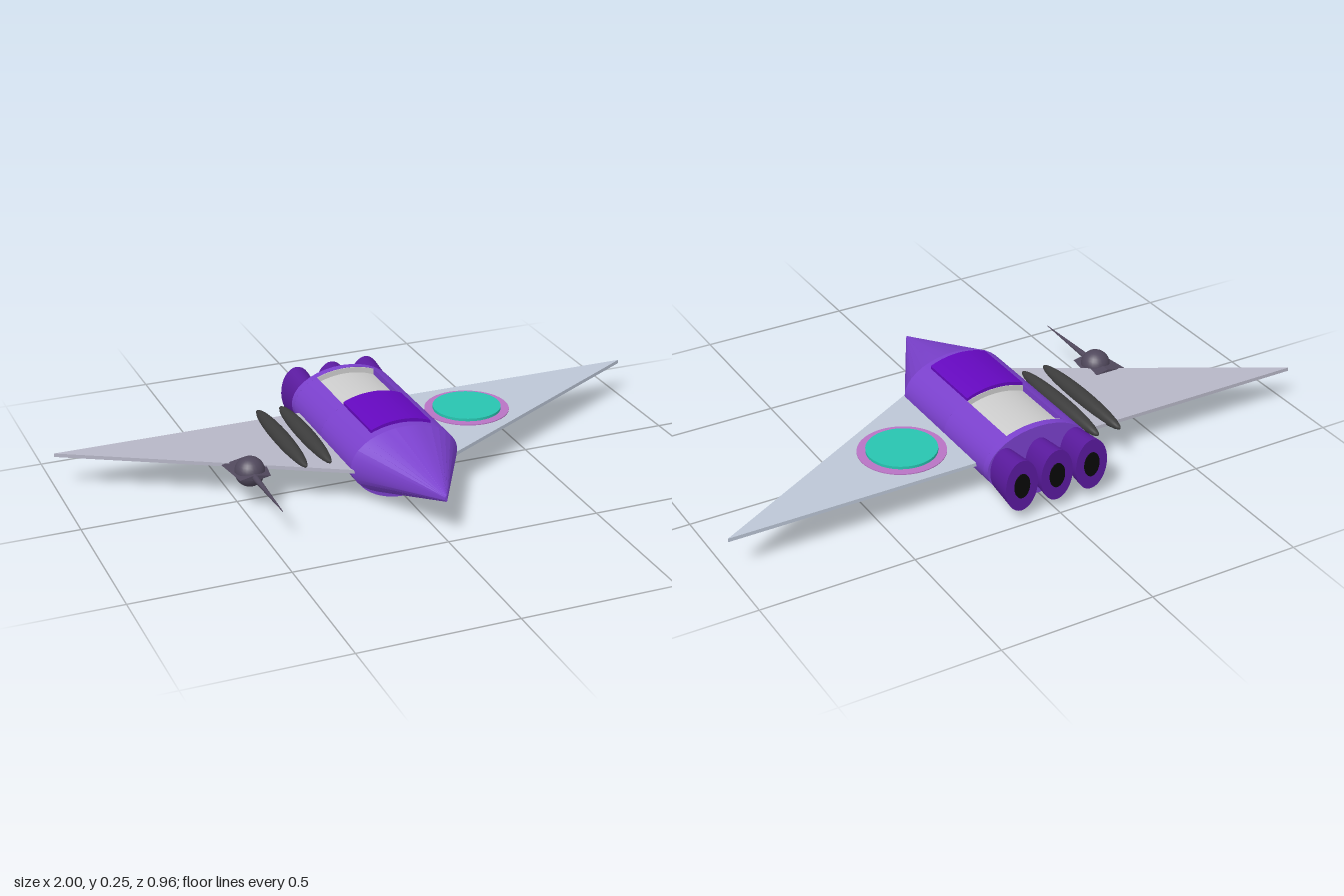
import * as THREE from 'three';
import { toCreasedNormals } from 'three/addons/utils/BufferGeometryUtils.js';

const CY = 0.127, RX = 0.18, RY = 0.112; // hull ellipse

// points along an elliptical arc about the hull axis
function arc(rx, ry, a0, a1, n, cy = CY) {
  return Array.from({ length: n + 1 }, (_, i) => {
    const a = a0 + (a1 - a0) * i / n;
    return new THREE.Vector2(rx * Math.cos(a), cy + ry * Math.sin(a));
  });
}

// extrude an outline along z between two stations
function slab(points, z0, z1) {
  const geo = new THREE.ExtrudeGeometry(new THREE.Shape(points), { depth: z1 - z0, bevelEnabled: false });
  geo.translate(0, 0, z0);
  return toCreasedNormals(geo, 0.5);
}

// round section along z, front radius first
function round(rFront, rBack, length, sides = 32) {
  return new THREE.CylinderGeometry(rFront, rBack, length, sides).rotateX(Math.PI / 2);
}

export function createModel() {
  const model = new THREE.Group();
  const mat = (color) => new THREE.MeshStandardMaterial({ color });
  const purple = mat(0x7a40cc), violet = mat(0x5a1a9e), canopyMat = mat(0x6408be);
  const grey = mat(0xcccccc), dark = mat(0x3c3c3c), black = mat(0x080808), gunMat = mat(0x50485c);
  const add = (name, geo, material, x = 0, y = 0, z = 0, parent = model) => {
    const mesh = new THREE.Mesh(geo, material);
    mesh.name = name;
    mesh.position.set(x, y, z);
    parent.add(mesh);
    return mesh;
  };

  // hull: full sections at both ends, a notched one around the rear bay
  const full = arc(RX, RY, 0, Math.PI * 2, 36).slice(0, -1);
  const aOut = Math.acos(0.1 / RX), aIn = Math.acos(0.1 / 0.16);
  const notched = [
    ...arc(RX, RY, Math.PI - aOut, Math.PI * 2 + aOut, 30),
    ...arc(0.16, 0.089, aIn, Math.PI - aIn, 12),
  ];
  add('hullFront', slab(full, -0.1, 0.16), purple);
  add('hullMiddle', slab(notched, -0.345, -0.1), purple);
  add('hullRear', slab(full, -0.37, -0.345), purple);

  // belly plate
  const belly = arc(0.172, 0.127, Math.PI + 0.58, Math.PI * 2 - 0.58, 20);
  add('bellyPlate', slab(belly, -0.37, 0.16), purple);

  // nose: ellipse narrowing to a small blunt tip
  const nose = round(1, 1, 1, 36);
  const p = nose.attributes.position;
  for (let i = 0; i < p.count; i++) {
    const tip = p.getZ(i) > 0;
    p.setXYZ(i,
      p.getX(i) * (tip ? 0.004 : RX),
      p.getY(i) * (tip ? 0.01 : RY) + (tip ? 0.135 : CY),
      tip ? 0.48 : 0.16);
  }
  add('nose', toCreasedNormals(nose, 0.5), purple);

  // raised canopy
  const canopy = [
    new THREE.Vector2(-0.1, 0.218), new THREE.Vector2(0.1, 0.218),
    ...arc(RX, 0.123, aOut, Math.PI - aOut, 14),
  ];
  add('canopy', slab(canopy, -0.105, 0.13), canopyMat);

  // recessed rear bay: curved floor and end walls
  const floor = [...arc(0.16, 0.093, aIn, Math.PI - aIn, 12), ...arc(0.16, 0.087, Math.PI - aIn, aIn, 12)];
  add('bayFloor', slab(floor, -0.345, -0.1), grey);
  const wall = [...arc(RX, RY - 0.001, aOut, Math.PI - aOut, 12), ...arc(0.16, 0.09, Math.PI - aIn, aIn, 12)];
  add('bayFrontWall', slab(wall, -0.107, -0.1), grey);
  add('bayRearWall', slab(wall, -0.345, -0.342), grey);

  // three oval engines with dark exhausts
  for (const x of [-0.123, 0, 0.123]) {
    const engine = new THREE.Group();
    engine.name = 'engine';
    engine.position.set(x, 0.123, 0);
    engine.scale.x = 0.64;
    model.add(engine);
    add('nozzle', round(0.073, 0.087, 0.117), violet, 0, 0, -0.4185, engine);
    add('exhaust', round(0.042, 0.042, 0.01), black, 0, 0, -0.475, engine);
  }

  // flat delta wings
  for (const side of [1, -1]) {
    const outline = [[0.14, -0.19], [1, 0.3], [0.14, 0.3]].map(([x, y]) => new THREE.Vector2(side * x, y));
    const geo = new THREE.ExtrudeGeometry(new THREE.Shape(outline), { depth: 0.012, bevelEnabled: false });
    geo.rotateX(-Math.PI / 2);
    add(side > 0 ? 'leftWing' : 'rightWing', geo, mat(side > 0 ? 0xbcc6d6 : 0xb6b6c6), 0, 0.113, 0);
  }

  // round dish on the left wing
  add('dishRim', new THREE.CylinderGeometry(0.139, 0.139, 0.006, 48), mat(0xb873c4), 0.342, 0.125, -0.125);
  add('dish', new THREE.CylinderGeometry(0.112, 0.112, 0.014, 48), mat(0x28c4b0), 0.342, 0.13, -0.125);

  // two slender pods on the right wing
  for (const x of [-0.305, -0.225]) {
    add('pod', new THREE.SphereGeometry(1, 24, 24), dark, x, 0.13, -0.127).scale.set(0.027, 0.027, 0.23);
  }

  // gun on the right wing's leading edge
  const gun = new THREE.Group();
  gun.name = 'gun';
  gun.position.set(-0.47, 0.12, 0);
  model.add(gun);
  add('gunBall', new THREE.SphereGeometry(0.048, 24, 16), gunMat, 0, 0, 0.045, gun);
  add('gunBarrel', round(0.001, 0.012, 0.29, 16), gunMat, 0, 0, 0.2, gun);
  const fins = toCreasedNormals(round(0.05, 0.068, 0.13, 4), 0.3);
  add('gunFins', fins, gunMat, 0, 0, 0.035, gun).scale.y = 0.2;

  return model;
}
